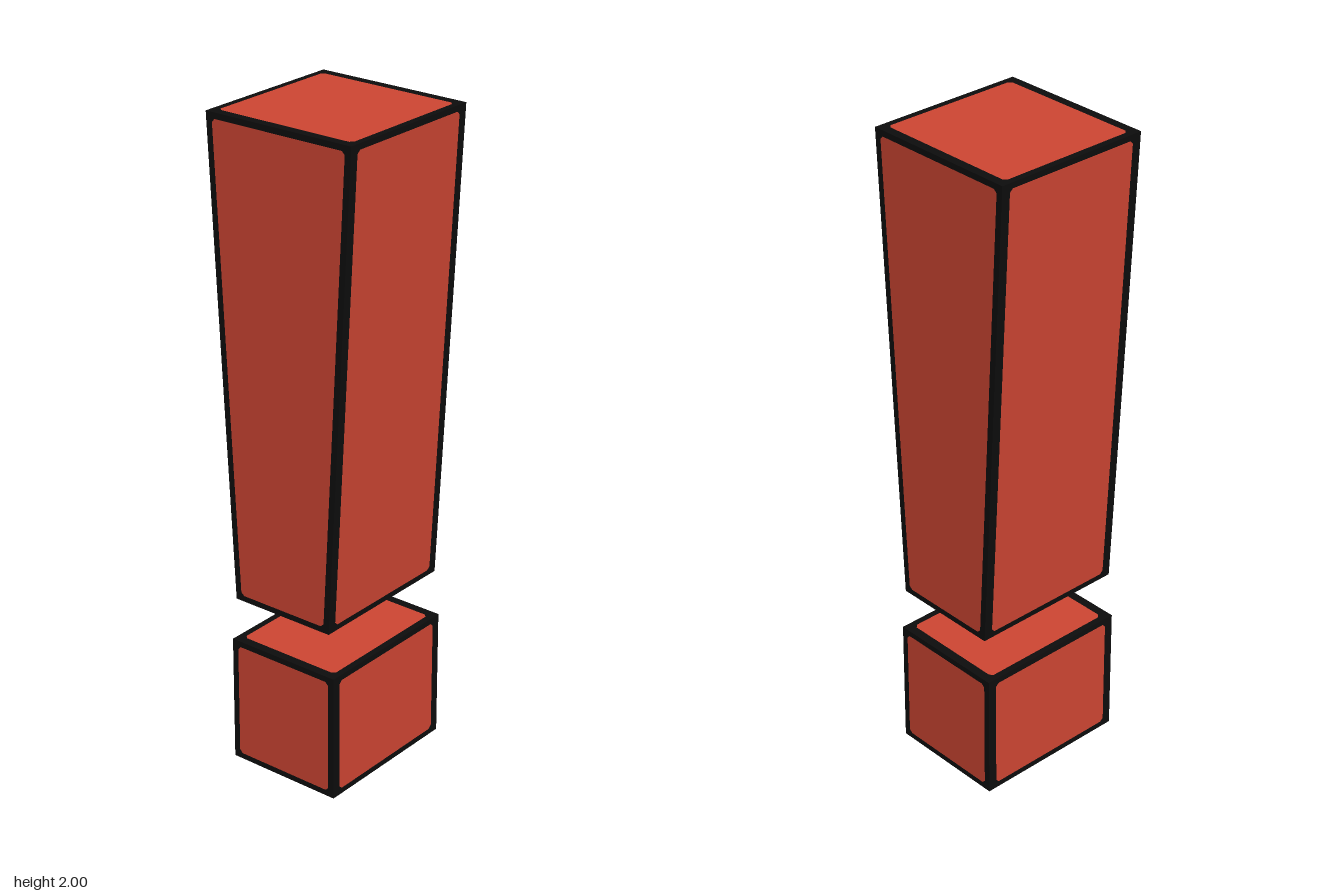
import * as THREE from 'three';

const red = new THREE.MeshStandardMaterial({ color: 0xd04633 });
red.name = 'red';
const black = new THREE.MeshStandardMaterial({ color: 0x0d0d0d });
black.name = 'black';

const CUT = 0.01; // clipped corners of the red panels

// Symmetric trapezoid inset by (bx, by), with clipped corners
function panelPoints(bottom, top, height, bx, by) {
  const half = (y) => bottom / 2 + ((top - bottom) / 2) * (y / height + 0.5) - bx;
  const y = height / 2 - by;
  const right = [
    [half(-y) - CUT, -y], [half(-y + CUT), -y + CUT],
    [half(y - CUT), y - CUT], [half(y) - CUT, y],
  ];
  const left = right.map(([px, py]) => [-px, py]).reverse();
  return [...right, ...left].map(([px, py]) => new THREE.Vector2(px, py));
}

// One flat face: red panel inside a black border
function addFace(group, name, size, border, centre, u, v) {
  const [bottom, top, height] = size;
  const inner = panelPoints(bottom, top, height, ...border);
  const outer = new THREE.Shape([
    new THREE.Vector2(-bottom / 2, -height / 2), new THREE.Vector2(bottom / 2, -height / 2),
    new THREE.Vector2(top / 2, height / 2), new THREE.Vector2(-top / 2, height / 2),
  ]);
  outer.holes.push(new THREE.Path(inner));
  const matrix = new THREE.Matrix4()
    .makeBasis(u, v, u.clone().cross(v))
    .setPosition(centre);
  const parts = [[new THREE.Shape(inner), red, 'Panel'], [outer, black, 'Border']];
  for (const [shape, material, suffix] of parts) {
    const mesh = new THREE.Mesh(new THREE.ShapeGeometry(shape).applyMatrix4(matrix), material);
    mesh.name = name + suffix;
    group.add(mesh);
  }
}

// Block tapering in x only, with black-edged faces on all six sides
function outlinedBlock(name, y0, y1, bottom, top, depth) {
  const group = new THREE.Group();
  group.name = name;
  const V = (x, y, z) => new THREE.Vector3(x, y, z);
  const h = y1 - y0, mid = (y0 + y1) / 2;
  const lean = (top - bottom) / 2, slant = Math.hypot(lean, h);
  const bx = 0.02, by = 0.018, bz = 0.028;

  for (const s of [1, -1]) {
    // front and back
    addFace(group, s > 0 ? 'front' : 'back', [bottom, top, h], [bx, by],
      V(0, mid, s * depth / 2), V(s, 0, 0), V(0, 1, 0));
    // leaning sides
    addFace(group, s > 0 ? 'left' : 'right', [depth, depth, slant], [bz, by],
      V(s * (bottom + top) / 4, mid, 0), V(0, 0, -s), V(s * lean / slant, h / slant, 0));
    // top and bottom
    const w = s > 0 ? top : bottom;
    addFace(group, s > 0 ? 'top' : 'bottom', [w, w, depth], [bx, bz],
      V(0, s > 0 ? y1 : y0, 0), V(1, 0, 0), V(0, 0, -s));
  }
  return group;
}

export function createModel() {
  const model = new THREE.Group();
  model.name = 'exclamationMark';
  model.add(outlinedBlock('stroke', 0.54, 2, 0.345, 0.5, 0.5));
  model.add(outlinedBlock('dot', 0, 0.4, 0.38, 0.38, 0.5));
  return model;
}
